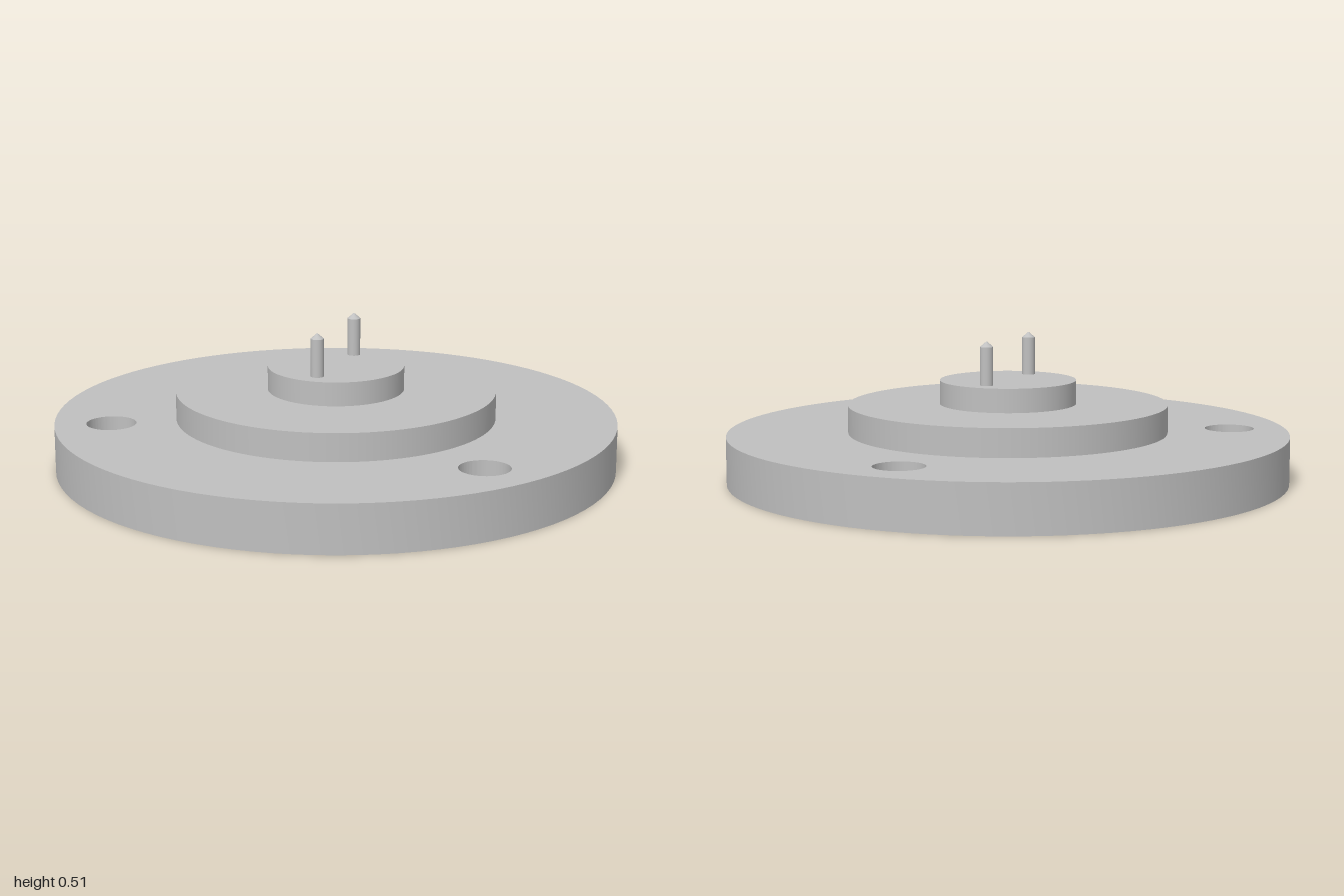
import * as THREE from 'three';
import { toCreasedNormals } from 'three/addons/utils/BufferGeometryUtils.js';

export function createModel() {
  const model = new THREE.Group();
  model.name = 'flange';
  const metal = new THREE.MeshStandardMaterial({ color: 0xc0c0c0 });
  metal.name = 'light grey metal';

  const add = (name, geometry, x, y, z) => {
    const mesh = new THREE.Mesh(geometry, metal);
    mesh.name = name;
    mesh.position.set(x, y, z);
    model.add(mesh);
  };

  // Base disc with three through holes, evenly spaced
  const disc = new THREE.Shape().absarc(0, 0, 1, 0, Math.PI * 2, false);
  for (let i = 0; i < 3; i++) {
    const a = Math.PI / 2 + (i * Math.PI * 2) / 3;
    disc.holes.push(
      new THREE.Path().absarc(0.8 * Math.cos(a), 0.8 * Math.sin(a), 0.088, 0, Math.PI * 2, true)
    );
  }
  const base = new THREE.ExtrudeGeometry(disc, { depth: 0.17, bevelEnabled: false, curveSegments: 48 });
  base.rotateX(-Math.PI / 2);
  add('baseDisc', toCreasedNormals(base, Math.PI / 5), 0, 0, 0);

  // Stepped bosses
  add('middleStep', new THREE.CylinderGeometry(0.57, 0.57, 0.1, 96), 0, 0.22, 0);
  add('topStep', new THREE.CylinderGeometry(0.243, 0.243, 0.085, 72), 0, 0.3125, 0);

  // Two pins with conical tips
  for (const [side, z] of [['front', 0.17], ['back', -0.17]]) {
    add(side + 'Pin', new THREE.CylinderGeometry(0.023, 0.023, 0.14, 32), 0, 0.42, z);
    add(side + 'PinTip', new THREE.ConeGeometry(0.023, 0.02, 32), 0, 0.5, z);
  }
  return model;
}
